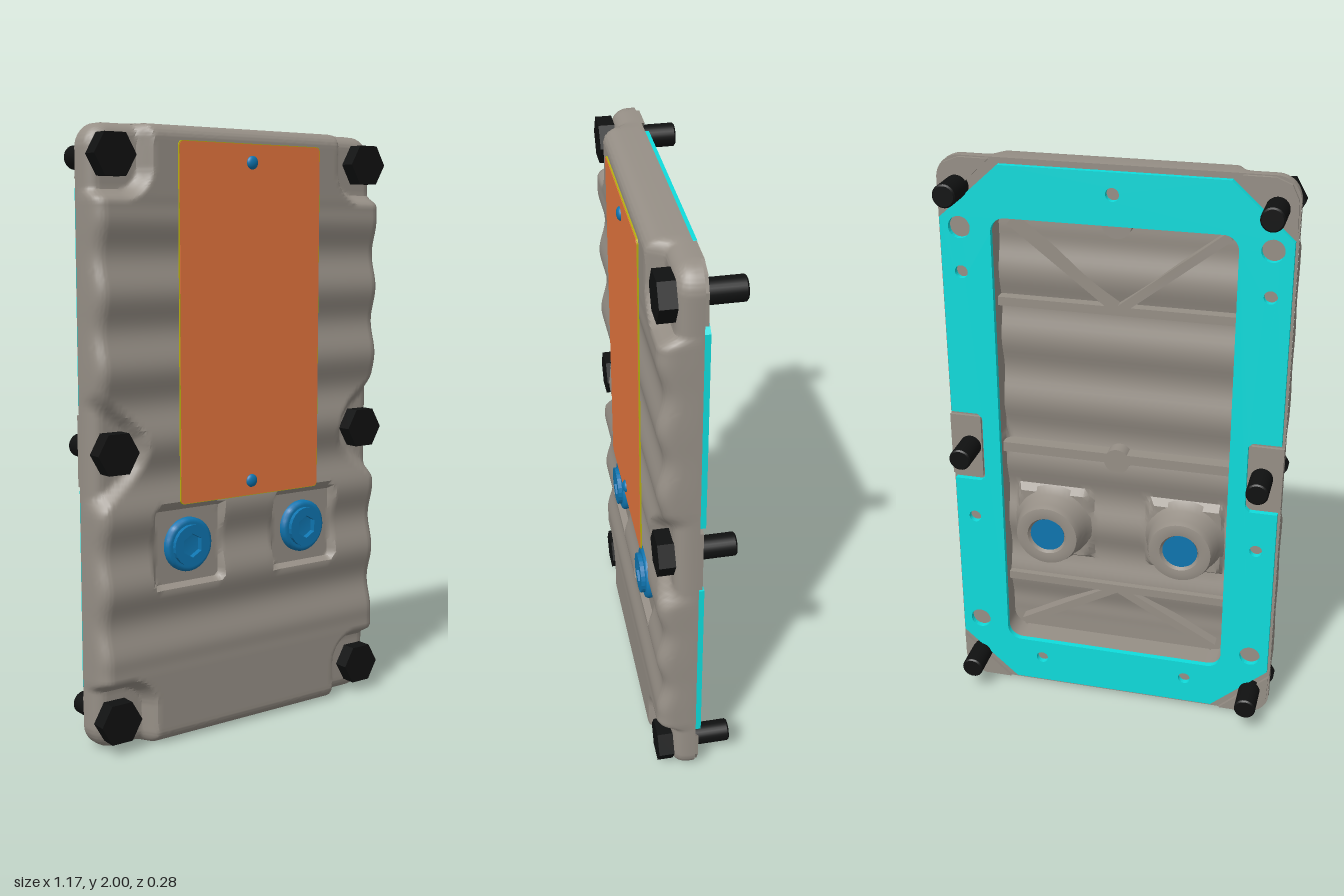
import * as THREE from 'three';
import { toCreasedNormals } from 'three/addons/utils/BufferGeometryUtils.js';

const mat = (color, side = THREE.FrontSide) =>
  new THREE.MeshStandardMaterial({ color, side });
const BACK = -0.01; // rear plane of the cover rim
const BOLT_X = 0.51, BOLT_Y = [0.105, 0.98, 1.9];
const PLUG_X = 0.24, PLUG_Y = 0.655;
const smooth = (a, b, v) => THREE.MathUtils.smoothstep(v, a, b);

// signed distance to a rounded box, negative inside
function boxDist(px, py, hx, hy, r) {
  const qx = Math.abs(px) - hx + r, qy = Math.abs(py) - hy + r;
  return Math.hypot(Math.max(qx, 0), Math.max(qy, 0)) + Math.min(Math.max(qx, qy), 0) - r;
}

// front height without edge rounding: waves, bolt recesses and plug pads
function relief(x, y) {
  const ax = Math.abs(x), my = Math.abs(y - 1);
  const fade = smooth(0.24, 0.33, y) * (1 - smooth(1.69, 1.78, y));
  let z = 0.118 - 0.011 * fade * (1 + Math.cos((y - 0.42) / 0.235 * Math.PI * 2));
  const corner = boxDist(ax - 0.78, my - 1.17, 0.4, 0.4, 0.1);
  const a = (Math.abs(y - 0.98) - 0.07 - 0.72 * (ax - 0.42)) * 0.81, b = 0.4 - ax;
  const mid = Math.max(a, b) + 0.25 * Math.max(0, 0.05 - Math.abs(a - b));
  const recess = 1 - smooth(-0.03, 0.012, Math.min(corner, mid));
  z += (0.066 - z) * recess;
  const pad = 1 - smooth(-0.012, 0.004, boxDist(ax - PLUG_X, y - PLUG_Y, 0.137, 0.137, 0.03));
  return z + (0.09 - z) * pad;
}

function frontZ(x, y) {
  const d = -boxDist(x, y - 1, 0.58, 1, 0.08);
  const k = THREE.MathUtils.clamp(1 - d / 0.045, 0, 1);
  return relief(x, y) - 0.055 * (1 - Math.sqrt(1 - k * k));
}

// rounded rectangular sheet following a height rule, with a skirt down to BACK
function sheet(hw, hh, r, nx, ny, height, flip) {
  const pos = [], idx = [];
  const spread = t => 0.35 * t + 0.65 * Math.sin(t * Math.PI / 2);
  for (let j = -1; j <= ny + 1; j++) {
    const v = THREE.MathUtils.clamp(j, 0, ny) / ny * 2 - 1;
    const yy = hh * spread(v) / spread(1);
    const over = Math.max(0, Math.abs(yy) - hh + r);
    const w = hw - r + Math.sqrt(Math.max(0, r * r - over * over));
    for (let i = -1; i <= nx + 1; i++) {
      const x = w * spread(THREE.MathUtils.clamp(i, 0, nx) / nx * 2 - 1);
      const skirt = i < 0 || j < 0 || i > nx || j > ny;
      pos.push(x, yy + 1, skirt ? BACK : height(x, yy + 1));
    }
  }
  const row = nx + 3;
  for (let j = 0; j < ny + 2; j++) for (let i = 0; i < nx + 2; i++) {
    const a = j * row + i, b = a + 1, c = b + row, d = a + row;
    if (flip) idx.push(a, c, b, a, d, c);
    else idx.push(a, b, c, a, c, d);
  }
  const g = new THREE.BufferGeometry();
  g.setAttribute('position', new THREE.Float32BufferAttribute(pos, 3));
  g.setIndex(idx);
  return toCreasedNormals(g, 0.7);
}

function roundRect(hw, y0, y1, r, T = THREE.Shape) {
  const s = new T();
  s.moveTo(-hw + r, y0);
  s.absarc(hw - r, y0 + r, r, -Math.PI / 2, 0);
  s.absarc(hw - r, y1 - r, r, 0, Math.PI / 2);
  s.absarc(-hw + r, y1 - r, r, Math.PI / 2, Math.PI);
  s.absarc(-hw + r, y0 + r, r, Math.PI, Math.PI * 1.5);
  s.closePath();
  return s;
}

const polygon = pts => new THREE.Shape(pts.map(p => new THREE.Vector2(...p)));
const circle = (x, y, r) => new THREE.Path().absarc(x, y, r, 0, Math.PI * 2);
const slab = (shape, z0, z1) =>
  new THREE.ExtrudeGeometry(shape, { depth: z1 - z0, bevelEnabled: false, curveSegments: 12 }).translate(0, 0, z0);
const zCyl = (r, z0, z1, n = 32) =>
  new THREE.CylinderGeometry(r, r, z1 - z0, n).rotateX(Math.PI / 2).translate(0, 0, (z0 + z1) / 2);

export function createModel() {
  const model = new THREE.Group();
  const grey = mat(0x968f86), black = mat(0x101111), blue = mat(0x0f75b0);
  const cyan = mat(0x0fdcdc), orange = mat(0xe6763f), yellow = mat(0xb8b010);
  const add = (name, geo, material, x = 0, y = 0, z = 0, parent = model) => {
    const m = new THREE.Mesh(geo, material);
    m.name = name;
    m.position.set(x, y, z);
    parent.add(m);
    return m;
  };

  // cover shell: front skin, cavity skin and rear rim
  add('coverFront', sheet(0.58, 1, 0.08, 110, 180, frontZ, false), grey);
  add('coverCavity', sheet(0.41, 0.82, 0.06, 60, 100, (x, y) => relief(x, y) - 0.03, true), grey);
  const rim = roundRect(0.579, 0.001, 1.999, 0.079);
  rim.holes.push(roundRect(0.41, 0.18, 1.82, 0.06, THREE.Path));
  add('coverRim', slab(rim, BACK, -0.002), grey);

  // raised bolt seats on the back
  for (const sx of [-1, 1]) {
    for (const sy of [-1, 1]) {
      const pts = [[0.4, 0.995], [0.5, 0.995], [0.55, 0.975], [0.572, 0.93], [0.575, 0.83]];
      add('cornerSeat', slab(polygon(pts.map(([x, y]) => [x * sx, 1 + y * sy])), -0.022, 0), grey);
    }
    add('middleSeat', new THREE.BoxGeometry(0.11, 0.23, 0.022), grey, sx * 0.524, 0.98, -0.011);
  }

  // ribs inside the cavity
  const rib = (x0, y0, x1, y1, w, z0 = 0.045) => {
    const m = add('rib', new THREE.BoxGeometry(Math.hypot(x1 - x0, y1 - y0), w, 0.09 - z0),
      grey, (x0 + x1) / 2, (y0 + y1) / 2, (0.09 + z0) / 2);
    m.rotation.z = Math.atan2(y1 - y0, x1 - x0);
  };
  for (const y of [1.5, 0.42]) rib(-0.41, y, 0.41, y, 0.03);
  rib(-0.41, 0.96, 0.41, 0.96, 0.035, 0.035);
  for (const sx of [-1, 1]) {
    rib(0, 1.5, sx * 0.36, 1.78, 0.03);
    rib(0, 0.42, sx * 0.36, 0.22, 0.03);
  }
  add('ribKnob', zCyl(0.045, 0.035, 0.09, 24), grey, 0, 0.95);
  add('topKnob', zCyl(0.05, 0.03, 0.09, 24), grey, 0, 1.8);

  // gasket with chamfered corners, side notches and holes
  const half = [[0.37, 0.02], [0.57, 0.2], [0.57, 0.85], [0.475, 0.85], [0.46, 0.865],
    [0.46, 1.095], [0.475, 1.11], [0.57, 1.11], [0.57, 1.8], [0.37, 1.98]];
  const gasket = polygon([...half, ...half.map(([x, y]) => [-x, y]).reverse()]);
  gasket.holes.push(roundRect(0.4, 0.19, 1.81, 0.05, THREE.Path), circle(0, 1.91, 0.022));
  for (const sx of [-1, 1]) {
    for (const [x, y, r] of [[0.505, 1.77, 0.037], [0.505, 0.26, 0.037], [0.505, 1.62, 0.022],
      [0.505, 0.7, 0.022], [0.27, 0.12, 0.022]]) gasket.holes.push(circle(sx * x, y, r));
  }
  add('gasket', slab(gasket, -0.03, -0.0101), cyan);

  // name plate with a coloured face, held by two rivets
  add('plateBody', slab(roundRect(0.285, 0.795, 1.95, 0.015), 0.119, 0.124), yellow);
  add('plateFace', slab(roundRect(0.283, 0.797, 1.948, 0.015), 0.124, 0.1255), orange);
  for (const y of [0.845, 1.89]) {
    const dome = new THREE.SphereGeometry(0.022, 24, 8, 0, Math.PI * 2, 0, Math.PI / 2);
    add('rivet', dome.rotateX(Math.PI / 2).scale(1, 1, 0.55), blue, 0, y, 0.125);
  }

  // screw plugs in front, their bosses behind
  const lathe = pts => new THREE.LatheGeometry(pts.map(p => new THREE.Vector2(...p)), 40).rotateX(Math.PI / 2);
  const hexPath = r => new THREE.Path(Array.from({ length: 6 }, (_, i) =>
    new THREE.Vector2(r * Math.cos(i * Math.PI / 3 + Math.PI / 6), r * Math.sin(i * Math.PI / 3 + Math.PI / 6))));
  for (const sx of [-1, 1]) {
    const plug = new THREE.Group();
    plug.name = 'plug';
    plug.position.set(sx * PLUG_X, PLUG_Y, 0);
    model.add(plug);
    const flange = lathe([[0, 0.106], [0.04, 0.106], [0.075, 0.113], [0.085, 0.11], [0.09, 0.103], [0.09, 0.085]].reverse());
    add('plugFlange', toCreasedNormals(flange, 0.7), blue, 0, 0, 0, plug);
    const head = new THREE.Shape().absarc(0, 0, 0.068, 0, Math.PI * 2);
    head.holes.push(hexPath(0.04));
    add('plugHead', slab(head, 0.1, 0.126), blue, 0, 0, 0, plug);
    add('plugEnd', zCyl(0.062, -0.022, 0.1), blue, 0, 0, 0, plug);
    const boss = lathe([[0.062, -0.02], [0.07, -0.033], [0.09, -0.036], [0.11, -0.032], [0.118, -0.01], [0.125, 0.045], [0.15, 0.075]]);
    add('plugBoss', toCreasedNormals(boss, 0.7), mat(0x968f86, THREE.DoubleSide), 0, 0, 0, plug);
  }

  // hexagon bolts through the cover
  for (const sx of [-1, 1]) for (const y of BOLT_Y) {
    const bolt = new THREE.Group();
    bolt.name = 'bolt';
    bolt.position.set(sx * BOLT_X, y, 0);
    model.add(bolt);
    const head = new THREE.CylinderGeometry(0.075, 0.075, 0.053, 6).rotateY(Math.PI / 6).rotateX(Math.PI / 2);
    head.translate(0, 0, 0.0905);
    add('boltHead', toCreasedNormals(head, 0.5), black, 0, 0, 0, bolt);
    add('boltShank', zCyl(0.038, -0.134, 0.07, 28), black, 0, 0, 0, bolt);
    const tip = new THREE.CylinderGeometry(0.038, 0.033, 0.005, 28).rotateX(Math.PI / 2);
    add('boltTip', tip, black, 0, 0, -0.1365, bolt);
  }
  // turn the hexagon corners towards the sides
  model.traverse(o => { if (o.name === 'boltHead') o.rotation.z = Math.PI / 3; });
  return model;
}
